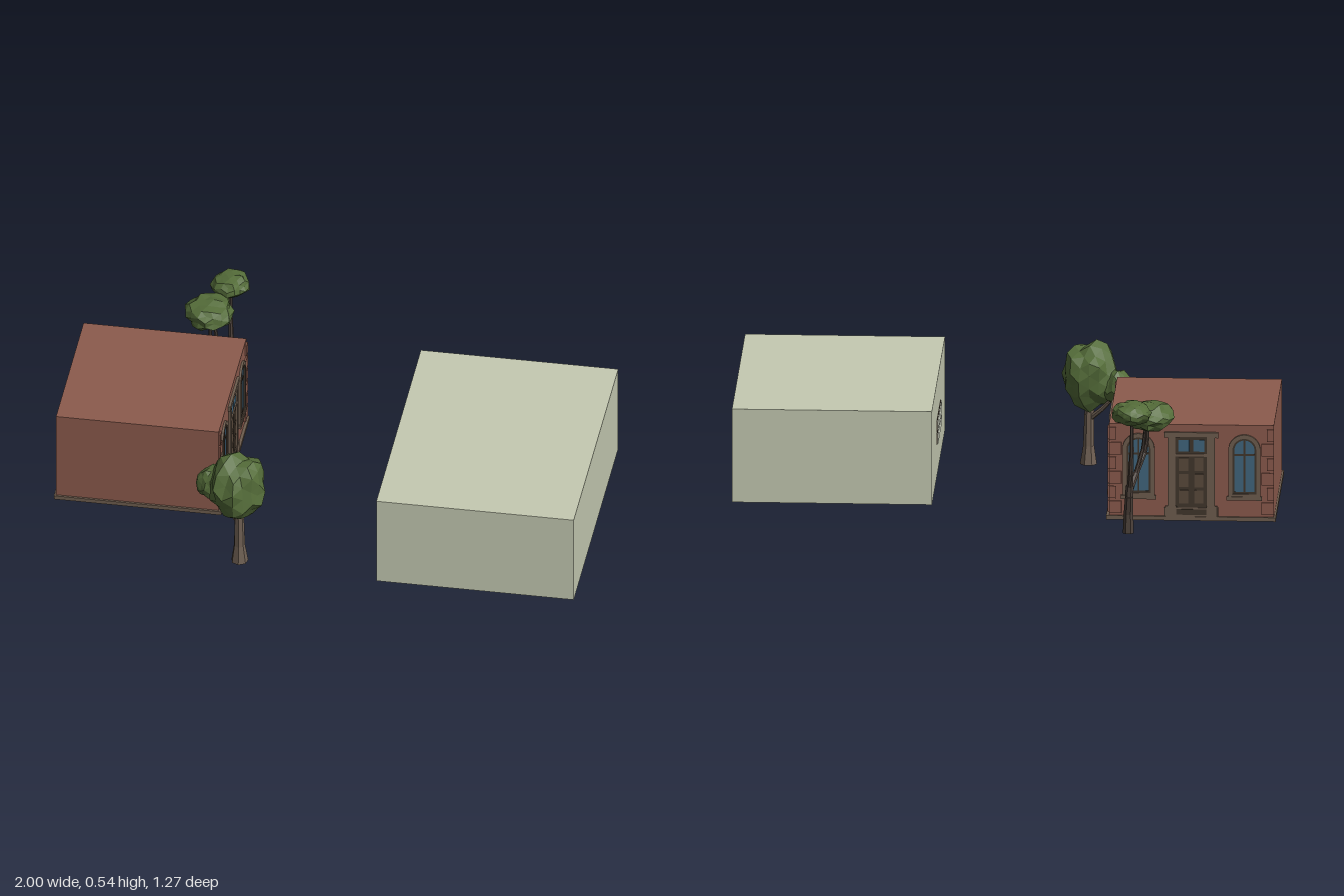
import * as THREE from 'three';

const flat = (name, color) => {
  const m = new THREE.MeshStandardMaterial({ color });
  m.name = name;
  return m;
};
const hash = (x, y, z) => {
  const s = Math.sin(Math.round(x * 1e3) * 12.99 + Math.round(y * 1e3) * 78.23 + Math.round(z * 1e3) * 37.72) * 43758.55;
  return s - Math.floor(s);
};

export function createModel() {
  const model = new THREE.Group();
  const brick = flat('brick red', 0x8c5b4d);
  const stone = flat('brown stone', 0x6e5d4e);
  const wood = flat('dark wood', 0x41362c);
  const panelWood = flat('door panel', 0x5a4a3c);
  const glass = flat('window blue', 0x41677f);
  const plaster = flat('pale green', 0xc5cab2);
  const slat = flat('pale slat', 0xdbdecd);
  const leaf = flat('leaf green', 0x546c39);
  const bark = flat('bark', 0x6f6053);
  const darkBark = flat('dark bark', 0x4b4039);

  const add = (parent, name, geo, mat, x = 0, y = 0, z = 0) => {
    const mesh = new THREE.Mesh(geo, mat);
    mesh.name = name;
    mesh.position.set(x, y, z);
    parent.add(mesh);
    return mesh;
  };
  // Box given by its x, y and z ranges
  const block = (parent, name, mat, x0, x1, y0, y1, z0, z1) =>
    add(parent, name, new THREE.BoxGeometry(x1 - x0, y1 - y0, z1 - z0), mat,
      (x0 + x1) / 2, (y0 + y1) / 2, (z0 + z1) / 2);
  const group = (name, parent = model) => {
    const g = new THREE.Group();
    g.name = name;
    parent.add(g);
    return g;
  };

  // House body
  const house = group('house');
  block(house, 'walls', brick, -0.993, -0.387, 0.045, 0.4, -0.362, 0.248);
  block(house, 'plinth', stone, -1, -0.376, 0.035, 0.05, -0.37, 0.256);

  // Round-topped outline, w wide, from y0 to y1
  const trace = (path, w, y0, y1) => {
    path.moveTo(-w / 2, y0);
    path.lineTo(w / 2, y0);
    path.lineTo(w / 2, y1 - w / 2);
    path.absarc(0, y1 - w / 2, w / 2, 0, Math.PI, false);
    path.lineTo(-w / 2, y0);
    return path;
  };
  const archRing = (wOut, a0, a1, wIn, b0, b1, depth) => {
    const s = trace(new THREE.Shape(), wOut, a0, a1);
    s.holes.push(trace(new THREE.Path(), wIn, b0, b1));
    return new THREE.ExtrudeGeometry(s, { depth, bevelEnabled: false, curveSegments: 8 });
  };

  // Arched window with surround, inner frame, bars and sill
  const makeWindow = (parent, x) => {
    const w = group('window', parent);
    w.position.x = x;
    add(w, 'windowSurround', archRing(0.118, 0.125, 0.365, 0.088, 0.138, 0.35, 0.008), stone);
    add(w, 'windowFrame', archRing(0.089, 0.137, 0.351, 0.074, 0.146, 0.343, 0.005), wood);
    add(w, 'windowGlass', new THREE.ShapeGeometry(trace(new THREE.Shape(), 0.08, 0.14, 0.346), 8), glass, 0, 0, 0.002);
    block(w, 'windowMullion', wood, -0.003, 0.003, 0.14, 0.345, 0, 0.004);
    block(w, 'windowBar', wood, -0.038, 0.038, 0.284, 0.291, 0, 0.004);
    block(w, 'windowSill', stone, -0.065, 0.065, 0.115, 0.129, 0, 0.01);
  };

  // Double door with transom, pilasters, lintel and step
  const makeDoor = (parent) => {
    const d = group('door', parent);
    block(d, 'doorLeaf', wood, -0.06, 0.06, 0.05, 0.352, 0, 0.003);
    for (const s of [-1, 1]) {
      block(d, 'pilaster', stone, s * 0.072 - 0.014, s * 0.072 + 0.014, 0.05, 0.36, 0, 0.008);
      block(d, 'pilasterBase', stone, s * 0.075 - 0.02, s * 0.075 + 0.02, 0.05, 0.09, 0, 0.01);
      for (const [y0, y1] of [[0.1, 0.15], [0.162, 0.212], [0.224, 0.274]])
        block(d, 'doorPanel', panelWood, s * 0.028 - 0.017, s * 0.028 + 0.017, y0, y1, 0, 0.006);
      block(d, 'transomGlass', glass, s * 0.028 - 0.02, s * 0.028 + 0.02, 0.298, 0.342, 0, 0.005);
    }
    block(d, 'transomBar', stone, -0.06, 0.06, 0.28, 0.29, 0, 0.008);
    block(d, 'lintel', stone, -0.1, 0.1, 0.352, 0.372, 0, 0.01);
    block(d, 'step', stone, -0.1, 0.1, 0.05, 0.084, 0, 0.006);
    block(d, 'stepPanel', wood, -0.075, 0.075, 0.057, 0.078, 0, 0.008);
  };

  // Decorated wall, facing +z before it is turned into place
  const makeFacade = (x, z, turn) => {
    const f = group('facade', house);
    f.position.set(x, 0, z);
    f.rotation.y = turn;
    for (const s of [-1, 1]) {
      makeWindow(f, s * 0.195);
      // Corner quoins alternate long and short
      for (let i = 0; i < 6; i++) {
        const len = i % 2 ? 0.025 : 0.045;
        const y = 0.06 + i * 0.056;
        block(f, 'quoin', brick, s * 0.281 - (s > 0 ? len - 0.022 : 0.022),
          s * 0.281 + (s > 0 ? 0.022 : len - 0.022), y, y + 0.046, 0, 0.006);
      }
    }
    makeDoor(f);
  };
  makeFacade(-0.387, -0.057, Math.PI / 2);
  makeFacade(-0.69, -0.362, Math.PI);

  // Plain block building with a slatted vent and four pegs underneath
  const hall = group('paleBuilding');
  block(hall, 'paleBlock', plaster, 0.265, 1, 0.076, 0.432, -0.35, 0.635);
  for (const z of [0.005, 0.155])
    for (const y of [0.207, 0.256]) {
      block(hall, 'ventRim', wood, 0.262, 0.27, y - 0.003, y + 0.037, z - 0.003, z + 0.133);
      block(hall, 'ventSlat', slat, 0.259, 0.27, y, y + 0.034, z, z + 0.13);
    }
  for (const x of [0.572, 0.688])
    for (const z of [0.172, 0.288])
      block(hall, 'peg', wood, x - 0.005, x + 0.005, 0.074, 0.08, z - 0.005, z + 0.005);

  // Faceted foliage: a roughened ball
  const foliage = (parent, pos, radii, rough = 0.22) => {
    const geo = new THREE.IcosahedronGeometry(1, 2);
    const p = geo.attributes.position;
    for (let i = 0; i < p.count; i++) {
      const [x, y, z] = [p.getX(i), p.getY(i), p.getZ(i)];
      const k = 1.05 - rough * hash(x + pos[0], y + pos[1], z + pos[2]);
      p.setXYZ(i, x * k * radii[0], y * k * radii[1], z * k * radii[2]);
    }
    geo.computeVertexNormals();
    add(parent, 'foliage', geo, leaf, ...pos);
  };
  // Tapered limb through points [x, y, z, radius]
  const limb = (parent, name, mat, pts) => {
    for (let i = 0; i + 1 < pts.length; i++) {
      const a = new THREE.Vector3(...pts[i].slice(0, 3));
      const b = new THREE.Vector3(...pts[i + 1].slice(0, 3));
      const dir = b.clone().sub(a);
      const geo = new THREE.CylinderGeometry(pts[i + 1][3], pts[i][3], dir.length(), 7).toNonIndexed();
      geo.computeVertexNormals();
      const mesh = add(parent, name, geo, mat, ...a.add(b).multiplyScalar(0.5).toArray());
      mesh.quaternion.setFromUnitVectors(new THREE.Vector3(0, 1, 0), dir.normalize());
    }
  };

  // Round tree in front of the house
  const roundTree = group('roundTree');
  limb(roundTree, 'trunk', bark, [[-0.27, 0, 0.48, 0.032], [-0.271, 0.07, 0.48, 0.021], [-0.272, 0.19, 0.48, 0.018], [-0.28, 0.3, 0.483, 0.012]]);
  limb(roundTree, 'branch', bark, [[-0.272, 0.17, 0.48, 0.011], [-0.32, 0.215, 0.46, 0.009], [-0.37, 0.27, 0.44, 0.006]]);
  foliage(roundTree, [-0.277, 0.337, 0.485], [0.113, 0.136, 0.116]);
  foliage(roundTree, [-0.38, 0.305, 0.435], [0.057, 0.073, 0.058]);

  // Umbrella tree behind the house
  const umbrellaTree = group('umbrellaTree');
  limb(umbrellaTree, 'trunk', darkBark, [[-0.465, 0.028, -0.518, 0.021], [-0.465, 0.1, -0.513, 0.018], [-0.468, 0.17, -0.526, 0.015], [-0.47, 0.21, -0.525, 0.015]]);
  limb(umbrellaTree, 'innerBranch', darkBark, [[-0.47, 0.19, -0.525, 0.013], [-0.49, 0.24, -0.475, 0.011], [-0.52, 0.305, -0.412, 0.009], [-0.53, 0.36, -0.415, 0.007], [-0.53, 0.43, -0.405, 0.005]]);
  limb(umbrellaTree, 'middleBranch', darkBark, [[-0.49, 0.24, -0.475, 0.009], [-0.515, 0.33, -0.455, 0.007], [-0.525, 0.42, -0.463, 0.005]]);
  limb(umbrellaTree, 'outerBranch', darkBark, [[-0.47, 0.2, -0.525, 0.012], [-0.475, 0.26, -0.55, 0.01], [-0.48, 0.36, -0.562, 0.008], [-0.48, 0.47, -0.575, 0.006]]);
  foliage(umbrellaTree, [-0.537, 0.453, -0.437], [0.094, 0.058, 0.102]);
  foliage(umbrellaTree, [-0.479, 0.498, -0.56], [0.077, 0.046, 0.077]);

  return model;
}
